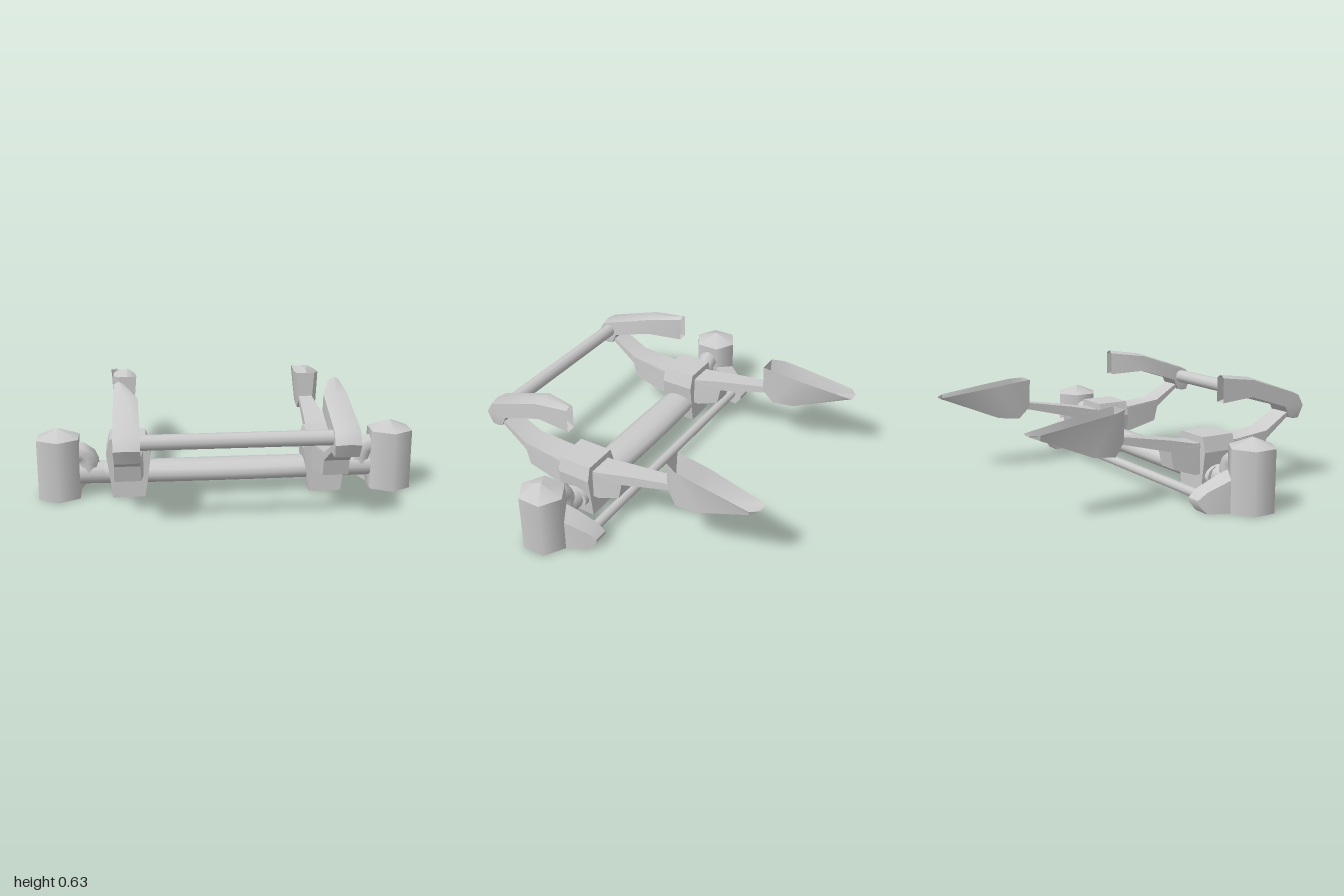
import * as THREE from 'three';
import { toCreasedNormals } from 'three/addons/utils/BufferGeometryUtils.js';

const material = new THREE.MeshStandardMaterial({ color: 0xcccccc });
const shellMaterial = new THREE.MeshStandardMaterial({ color: 0xcccccc, side: THREE.DoubleSide });

function add(group, name, geometry, mat = material) {
  const mesh = new THREE.Mesh(geometry, mat);
  mesh.name = name;
  group.add(mesh);
  return mesh;
}

// Skin a row of rings, listed from back (-z) to front (+z)
function loft(rings, { closed = true, startCap = true, endCap = true, crease = 0.75 } = {}) {
  const out = [];
  const n = rings[0].length;
  const tri = (a, b, c) => out.push(...a, ...b, ...c);
  for (let i = 0; i < rings.length - 1; i++) {
    for (let j = 0; j < (closed ? n : n - 1); j++) {
      const k = (j + 1) % n;
      const [a, b, c, d] = [rings[i][j], rings[i][k], rings[i + 1][k], rings[i + 1][j]];
      tri(a, b, c);
      tri(a, c, d);
    }
  }
  const first = rings[0], last = rings[rings.length - 1];
  for (let j = 1; j < n - 1; j++) {
    if (startCap) tri(first[0], first[j + 1], first[j]);
    if (endCap) tri(last[0], last[j], last[j + 1]);
  }
  const g = new THREE.BufferGeometry();
  g.setAttribute('position', new THREE.Float32BufferAttribute(out, 3));
  g.computeVertexNormals();
  return toCreasedNormals(g, crease);
}

// Box-like ring from a top (z, y) and a bottom (z, y), with a slightly peaked top
const boxRing = (crown) => ([zt, yt, zb, yb, x0, x1]) => {
  const ys = yt + (yb - yt) * crown, zs = zt + (zb - zt) * crown;
  return [[x0, yb, zb], [x1, yb, zb], [x1, ys, zs], [(x0 + x1) / 2, yt, zt], [x0, ys, zs]];
};
// Open-topped ring
const troughRing = ([zt, yt, zb, yb, x0, x1]) =>
  [[x0, yt, zt], [x0 + 0.015, yb, zb], [x1 - 0.01, yb, zb], [x1, yt, zt]];

// Rod lying along x
function rod(radius, length, sides) {
  return new THREE.CylinderGeometry(radius, radius, length, sides).rotateZ(Math.PI / 2);
}

function buildSide() {
  const side = new THREE.Group();

  // Upright hub with a pointed cap
  const hub = new THREE.CylinderGeometry(0.125, 0.125, 0.325, 6, 1, true).translate(0.89, 0.1625, 0.23);
  add(side, 'hub', hub);
  const cap = new THREE.ConeGeometry(0.125, 0.05, 6, 1, true).translate(0.89, 0.35, 0.23);
  add(side, 'hubCap', cap);
  add(side, 'hubBase', new THREE.CircleGeometry(0.125, 6, Math.PI / 2).rotateX(Math.PI / 2).translate(0.89, 0, 0.23));

  // Steering arm from the hub to the tie rod
  add(side, 'steeringArm', loft([
    [-0.04, 0.07, -0.04, 0.05, 0.74, 0.82],
    [0, 0.11, 0, 0, 0.745, 0.84],
    [0.11, 0.17, 0.11, 0, 0.77, 0.89],
    [0.18, 0.2, 0.18, 0, 0.79, 0.9],
  ].map(boxRing(0))));

  // Axle end and the elbow that rises into the hub
  add(side, 'axleEnd', rod(0.06, 0.22, 10).translate(0.71, 0.122, 0.222));
  const bend = new THREE.CatmullRomCurve3([
    new THREE.Vector3(0.735, 0.11, 0.222),
    new THREE.Vector3(0.735, 0.19, 0.222),
    new THREE.Vector3(0.76, 0.23, 0.222),
    new THREE.Vector3(0.85, 0.235, 0.222),
  ]);
  add(side, 'axleElbow', new THREE.TubeGeometry(bend, 8, 0.056, 8));

  // Clamp around the axle and spring arm
  const outline = [[0.44, 0.01], [0.61, 0.01], [0.62, 0.1], [0.64, 0.25], [0.62, 0.33],
    [0.43, 0.33], [0.405, 0.25], [0.425, 0.1]];
  const clampShape = new THREE.Shape(outline.map(([x, y]) => new THREE.Vector2(x, y)));
  const clamp = new THREE.ExtrudeGeometry(clampShape, { depth: 0.19, bevelEnabled: false }).translate(0, 0, 0.13);
  add(side, 'springClamp', clamp);

  // Long spring arm, thin at both ends
  add(side, 'springArm', loft([
    [-0.36, 0.38, -0.36, 0.345, 0.49, 0.56],
    [-0.04, 0.325, -0.04, 0.265, 0.467, 0.582],
    [0.1, 0.295, 0.1, 0.22, 0.455, 0.595],
    [0.36, 0.29, 0.36, 0.22, 0.45, 0.602],
    [0.57, 0.31, 0.57, 0.265, 0.462, 0.595],
    [0.76, 0.42, 0.72, 0.37, 0.475, 0.585],
  ].map(boxRing(0))));

  // Thick pad under the middle of the spring arm
  add(side, 'springPad', loft([
    [-0.04, 0.268, -0.02, 0.17, 0.468, 0.58],
    [0.1, 0.285, 0.1, 0.13, 0.452, 0.598],
    [0.36, 0.285, 0.36, 0.14, 0.447, 0.605],
    [0.58, 0.3, 0.55, 0.18, 0.462, 0.595],
  ].map(boxRing(0))));

  // Curved front horn, open at its rear end
  add(side, 'frontHorn', loft([
    [0.28, 0.63, 0.28, 0.485, 0.535, 0.588],
    [0.48, 0.6, 0.47, 0.5, 0.468, 0.59],
    [0.8, 0.49, 0.7, 0.425, 0.463, 0.592],
    [0.835, 0.43, 0.73, 0.365, 0.463, 0.592],
    [0.8, 0.357, 0.76, 0.355, 0.468, 0.588],
  ].map(boxRing(0.1)), { startCap: false, crease: 0.9 }), shellMaterial);

  // Open-topped rear bracket tapering to the back
  add(side, 'rearBracket', loft([
    [-0.83, 0.442, -0.83, 0.436, 0.525, 0.59],
    [-0.79, 0.447, -0.79, 0.42, 0.517, 0.623],
    [-0.5, 0.487, -0.5, 0.3, 0.477, 0.615],
    [-0.375, 0.503, -0.375, 0.285, 0.472, 0.607],
    [-0.31, 0.51, -0.31, 0.345, 0.47, 0.575],
  ].map(troughRing), { closed: false, startCap: false, crease: 0.6 }), shellMaterial);

  return side;
}

export function createModel() {
  const model = new THREE.Group();
  model.name = 'frontAxle';

  const left = buildSide();
  left.name = 'leftSide';
  const right = buildSide();
  right.name = 'rightSide';
  right.scale.x = -1;
  model.add(left, right);

  // Axle beam: an oval bar, widest at its middle
  const beam = new THREE.CylinderGeometry(1, 1, 1.3, 12, 8).rotateZ(Math.PI / 2);
  const p = beam.attributes.position;
  for (let i = 0; i < p.count; i++) {
    const t = Math.abs(p.getX(i)) / 0.65;
    p.setY(i, p.getY(i) * 0.058);
    p.setZ(i, p.getZ(i) * (0.103 - 0.024 * t * t));
  }
  beam.translate(0, 0.122, 0.222);
  beam.computeVertexNormals();
  add(model, 'axleBeam', toCreasedNormals(beam, 0.9));

  // Cross rods
  add(model, 'tieRod', rod(0.026, 1.52, 8).translate(0, 0.071, 0.025));
  add(model, 'frontCrossbar', rod(0.038, 0.98, 10).translate(0, 0.445, 0.752));
  return model;
}
